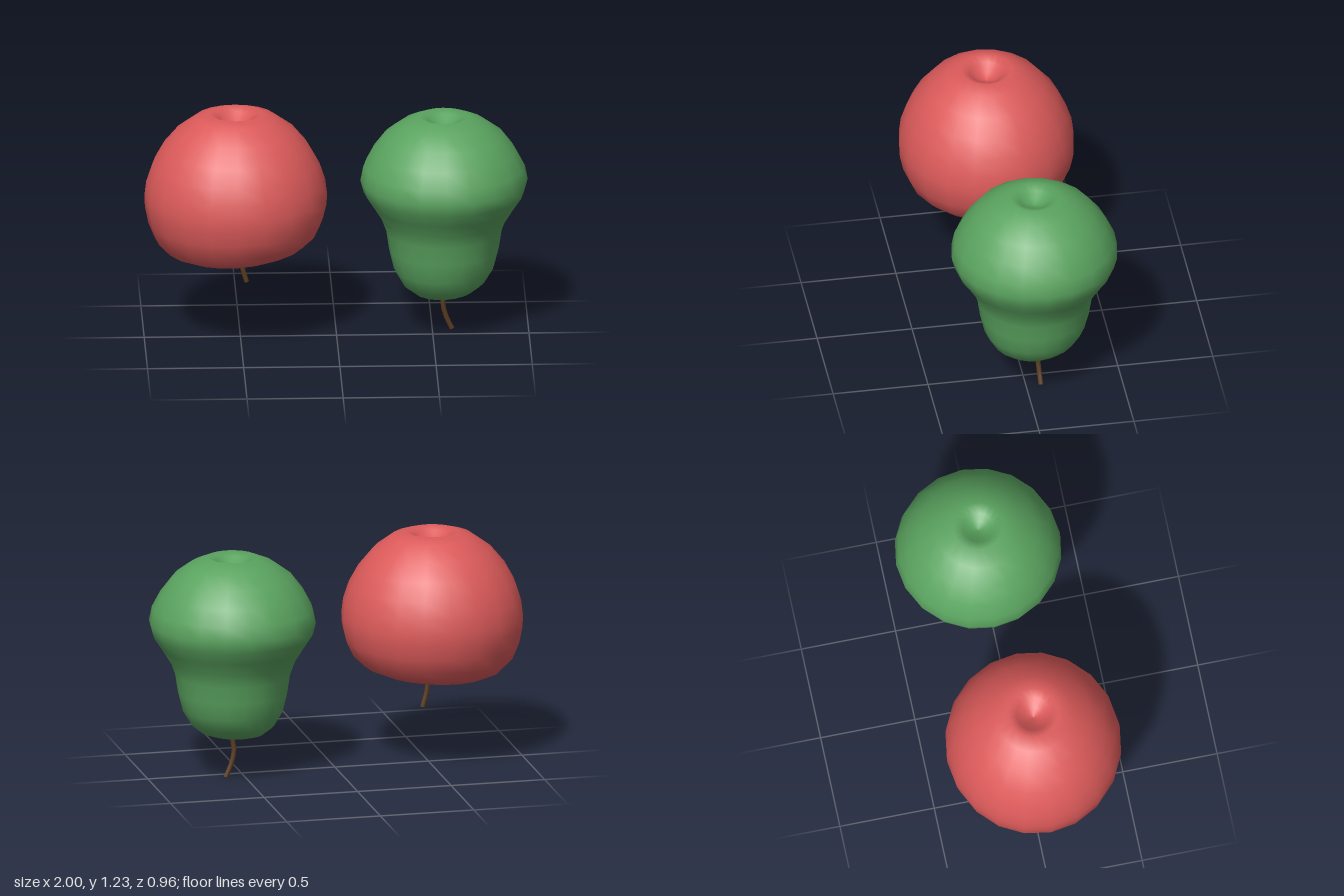
import * as THREE from 'three';

const material = (color) => new THREE.MeshStandardMaterial({ color, roughness: 0.8 });

// Revolved fruit body; profile runs from the stem hollow (bottom) to the top dimple.
// The stem end leans slightly, by tiltX and tiltZ.
function fruitBody(name, profile, color, { x, z, depth = 1, tiltX, tiltZ, bottom, top }) {
  const geometry = new THREE.LatheGeometry(profile.map(([r, y]) => new THREE.Vector2(r, y)), 20);
  geometry.scale(1, 1, depth);
  const p = geometry.attributes.position;
  for (let i = 0; i < p.count; i++) {
    const fade = THREE.MathUtils.clamp(1 - (p.getY(i) - bottom) / (top - bottom), 0, 1);
    p.setY(i, p.getY(i) + fade * (tiltX * p.getX(i) + tiltZ * p.getZ(i)));
  }
  const mesh = new THREE.Mesh(geometry, material(color));
  mesh.name = name;
  mesh.position.set(x, 0, z);
  return mesh;
}

// Bent stem: a thin tube with a closed tip
function fruitStem(name, points, radius) {
  const group = new THREE.Group();
  group.name = name;
  const curve = new THREE.CatmullRomCurve3(points.map((p) => new THREE.Vector3(...p)));
  const bark = material(0x5a3d22);
  group.add(new THREE.Mesh(new THREE.TubeGeometry(curve, 8, radius, 8), bark));
  const tip = new THREE.Mesh(new THREE.CircleGeometry(radius, 8), bark);
  tip.position.copy(curve.getPoint(1));
  tip.quaternion.setFromUnitVectors(new THREE.Vector3(0, 0, 1), curve.getTangent(1));
  group.add(tip);
  group.children.forEach((m, i) => { m.name = name + (i ? 'Tip' : 'Shaft'); });
  return group;
}

export function createModel() {
  const model = new THREE.Group();
  model.name = 'fruitPair';

  // Upside-down apple with a wide hollow around the stem
  const apple = new THREE.Group();
  apple.name = 'apple';
  apple.add(
    fruitBody('appleBody', [
      [0, 0.62], [0.05, 0.6], [0.1, 0.54], [0.15, 0.49], [0.2, 0.468], [0.28, 0.476],
      [0.36, 0.51], [0.42, 0.57], [0.455, 0.65], [0.472, 0.73], [0.475, 0.79], [0.465, 0.87],
      [0.435, 0.96], [0.385, 1.05], [0.31, 1.14], [0.21, 1.213], [0.135, 1.236],
      [0.09, 1.215], [0.05, 1.175], [0, 1.16],
    ], 0xdc5a5a, { x: -0.525, z: 0.02, depth: 0.965, tiltX: 0.06, tiltZ: 0, bottom: 0.46, top: 0.75 }),
    fruitStem('appleStem', [
      [-0.515, 0.64, 0.01], [-0.5, 0.47, 0], [-0.49, 0.38, -0.005], [-0.467, 0.3, -0.01],
    ], 0.013),
  );

  // Upside-down pear with a narrow neck below
  const pear = new THREE.Group();
  pear.name = 'pear';
  pear.add(
    fruitBody('pearBody', [
      [0, 0.3], [0.03, 0.285], [0.06, 0.24], [0.1, 0.219], [0.16, 0.236], [0.215, 0.28],
      [0.262, 0.36], [0.286, 0.46], [0.3, 0.555], [0.326, 0.625], [0.372, 0.7],
      [0.418, 0.77], [0.435, 0.835], [0.42, 0.91], [0.375, 0.995], [0.31, 1.08],
      [0.22, 1.146], [0.13, 1.184], [0.08, 1.165], [0.045, 1.135], [0, 1.125],
    ], 0x5aa35f, { x: 0.56, z: -0.05, tiltX: 0.05, tiltZ: -0.06, bottom: 0.22, top: 0.5 }),
    fruitStem('pearStem', [
      [0.572, 0.31, -0.06], [0.567, 0.22, -0.065], [0.555, 0.15, -0.068],
      [0.572, 0.075, -0.073], [0.602, 0.008, -0.077],
    ], 0.013),
  );

  model.add(apple, pear);
  return model;
}
